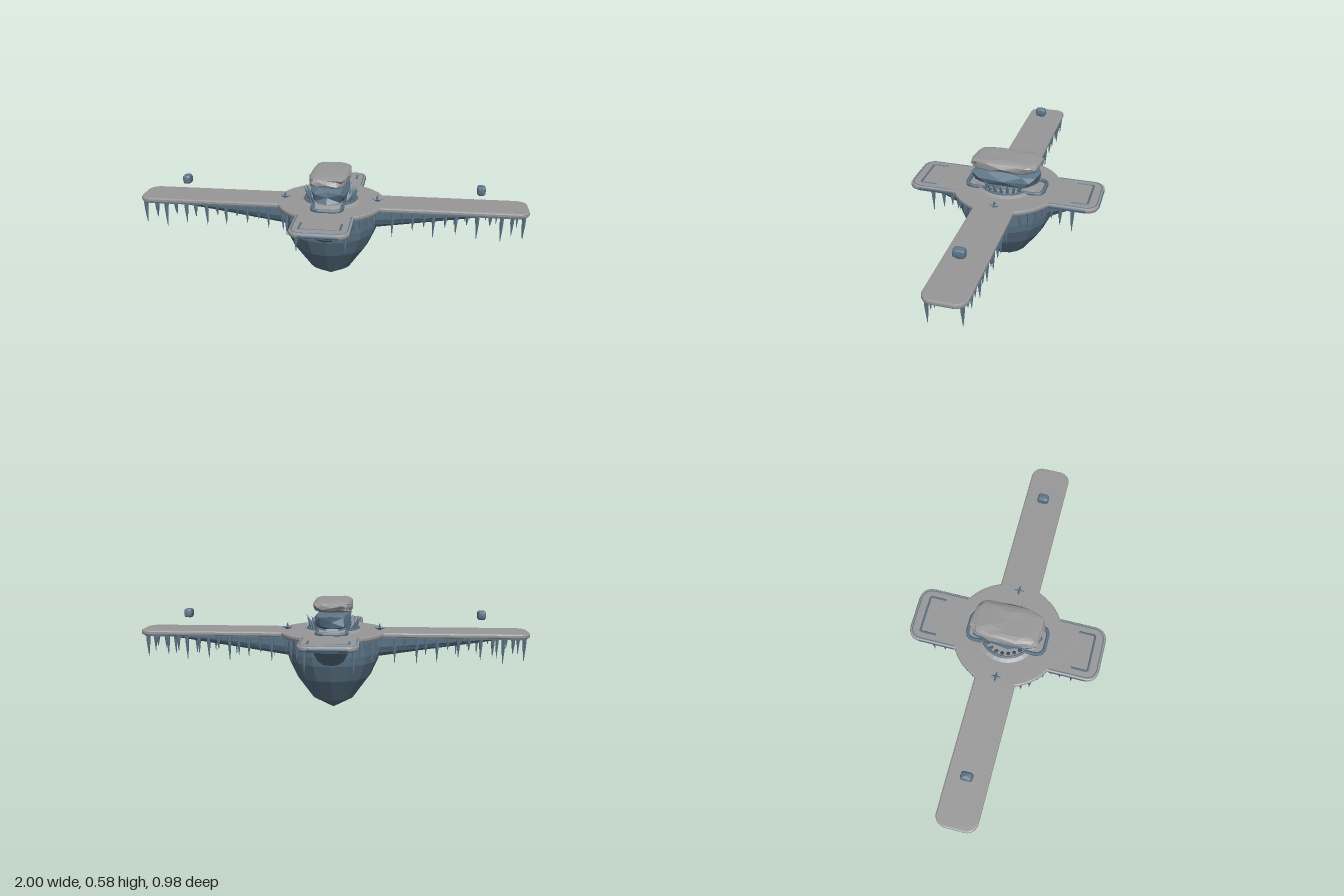
import * as THREE from 'three';
import { mergeVertices } from 'three/addons/utils/BufferGeometryUtils.js';

const stone = new THREE.MeshStandardMaterial({ color: 0x989898 });
stone.name = 'grey stone';
const ice = new THREE.MeshStandardMaterial({ color: 0x5c7689 });
ice.name = 'blue ice';

let seed = 7;
const rnd = () => (seed = (seed * 16807) % 2147483647) / 2147483647;

// split the faces so that each is shaded flat
function flat(geo) {
  const g = geo.index ? geo.toNonIndexed() : geo;
  g.computeVertexNormals();
  return g;
}

// move every vertex by a rule
function warp(geo, rule) {
  const p = geo.attributes.position, v = new THREE.Vector3();
  for (let i = 0; i < p.count; i++) {
    rule(v.fromBufferAttribute(p, i));
    p.setXYZ(i, v.x, v.y, v.z);
  }
  return geo;
}

// cross-shaped plan: disc with two long and two short rounded arms
function plan(inset) {
  const R = 0.28 - inset, L = 1 - inset, W = 0.103 - inset;
  const Z = 0.49 - inset, H = 0.145 - inset, c = 0.05;
  const a = Math.asin(W / R), b = Math.acos(H / R);
  const s = new THREE.Shape();
  s.moveTo(R * Math.cos(a), -W);
  s.lineTo(L - c, -W);
  s.absarc(L - c, -W + c, c, -Math.PI / 2, 0);
  s.absarc(L - c, W - c, c, 0, Math.PI / 2);
  s.absarc(0, 0, R, a, b);
  s.absarc(H - c, Z - c, c, 0, Math.PI / 2);
  s.absarc(-H + c, Z - c, c, Math.PI / 2, Math.PI);
  s.absarc(0, 0, R, Math.PI - b, Math.PI - a);
  s.absarc(-L + c, W - c, c, Math.PI / 2, Math.PI);
  s.absarc(-L + c, -W + c, c, Math.PI, Math.PI * 1.5);
  s.absarc(0, 0, R, Math.PI + a, Math.PI + b);
  s.absarc(-H + c, -Z + c, c, Math.PI, Math.PI * 1.5);
  s.absarc(H - c, -Z + c, c, Math.PI * 1.5, Math.PI * 2);
  s.absarc(0, 0, R, -b, -a);
  return s;
}

// horizontal slab between two heights
function slab(shape, y0, y1, bevel) {
  const g = new THREE.ExtrudeGeometry(shape, {
    depth: y1 - y0 - 2 * bevel, curveSegments: 8, bevelEnabled: bevel > 0,
    bevelSize: bevel, bevelThickness: bevel, bevelSegments: 2,
  });
  return g.rotateX(-Math.PI / 2).translate(0, y0 + bevel, 0);
}

// boxy boulder with a rough surface
function boulder(hx, hy, hz, detail, rough) {
  const g = new THREE.IcosahedronGeometry(1, detail);
  g.deleteAttribute('normal');
  g.deleteAttribute('uv');
  const m = mergeVertices(g, 1e-3);
  const box = (n) => Math.sign(n) * Math.pow(Math.abs(n), 0.55);
  warp(m, (v) => {
    const k = 1 - rough * rnd();
    v.set(box(v.x) * hx * k, box(v.y) * hy * (1 - rough * rnd()), box(v.z) * hz * k);
  });
  return flat(m);
}

// U-shaped rail, open towards the centre
function rail(half, end, start, y, r, corner) {
  const pts = [[half, start], [half, end - corner], [half - corner * 0.3, end - corner * 0.3],
    [half - corner, end], [-half + corner, end], [-half + corner * 0.3, end - corner * 0.3],
    [-half, end - corner], [-half, start]].map(([x, z]) => new THREE.Vector3(x, y, z));
  const path = new THREE.CurvePath();
  for (let i = 1; i < pts.length; i++) path.add(new THREE.LineCurve3(pts[i - 1], pts[i]));
  return new THREE.TubeGeometry(path, 60, r, 6, false);
}

// tapering bracket under an arm, along +x
function bracket(x0, x1, depth, half) {
  const g = new THREE.CylinderGeometry(1, 1, x1 - x0, 16, 5).rotateZ(-Math.PI / 2);
  warp(g, (v) => {
    const t = (v.x + (x1 - x0) / 2) / (x1 - x0);
    const d = depth * (1 - t) + 0.008;
    v.set(x0 + t * (x1 - x0), 0.392 - d * Math.pow(Math.max(0, -v.y), 0.7),
      v.z * half * (1 - 0.2 * t));
  });
  return flat(g);
}

export function createModel() {
  const model = new THREE.Group();
  const add = (name, geo, mat, parent = model) => {
    const m = new THREE.Mesh(geo, mat);
    m.name = name;
    parent.add(m);
    return m;
  };

  // platform
  add('deck', slab(plan(0.007), 0.392, 0.416, 0.007), stone);
  add('deckUnderside', slab(plan(0.012), 0.385, 0.393, 0), ice);

  // faceted keel
  const profile = [[0, 0], [0.108, 0.06], [0.195, 0.18], [0.235, 0.265], [0.245, 0.31], [0.25, 0.39]]
    .map(([x, y]) => new THREE.Vector2(x, y));
  add('keel', flat(new THREE.LatheGeometry(profile, 16)), ice);

  // brackets below the four arms
  for (const s of [0, 1]) {
    add('longArmBracket', bracket(0.18, 0.93, 0.115, 0.06), ice).rotation.y = s * Math.PI;
    add('shortArmBracket', bracket(0.18, 0.43, 0.145, 0.095), ice).rotation.y = (s - 0.5) * Math.PI;
  }

  // rails on the short arms and around the boulder
  for (const s of [0, 1]) {
    const end = new THREE.Group();
    end.name = 'shortArmRails';
    end.rotation.y = s * Math.PI;
    model.add(end);
    add('edgeRail', rail(0.133, 0.479, 0.245, 0.403, 0.0145, 0.045), ice, end);
    add('innerRail', rail(0.098, 0.435, 0.35, 0.414, 0.006, 0.008), ice, end);
    add('boulderRail', rail(0.075, 0.2, 0.1, 0.422, 0.01, 0.035), ice, end);
  }

  // raised base, boulder and cap
  add('boulderBase', flat(new THREE.CylinderGeometry(0.135, 0.165, 0.014, 24).translate(0, 0.42, 0)), stone);
  add('boulderNeck', flat(new THREE.CylinderGeometry(0.075, 0.095, 0.05, 9).scale(1, 1, 1.45).translate(0, 0.435, 0)), ice);
  add('boulder', boulder(0.1, 0.048, 0.2, 1, 0.22), ice).position.y = 0.477;
  add('boulderCap', boulder(0.107, 0.031, 0.185, 3, 0.1), stone).position.y = 0.55;

  // crown of shards leaning outwards beside the boulder
  for (const side of [-1, 1]) {
    for (let i = -3; i <= 3; i++) {
      const a = i * 0.27, h = 0.06 + 0.03 * rnd();
      const shard = new THREE.Group();
      shard.name = 'shard';
      shard.rotation.y = a + (side < 0 ? Math.PI : 0);
      model.add(shard);
      const m = add('shardSpike', flat(new THREE.ConeGeometry(0.013, h, 5).translate(0, h / 2, 0)), ice, shard);
      m.position.set(0.108, 0.415, 0);
      m.rotation.z = -0.35 - 0.25 * rnd();
    }
    const arc = add('crownArc', new THREE.TorusGeometry(0.132, 0.007, 5, 14, 1.8), ice);
    arc.rotation.set(-Math.PI / 2, 0, side > 0 ? -0.9 : Math.PI - 0.9);
    arc.position.y = 0.427;

    // little star of ice on the deck
    const star = new THREE.Group();
    star.name = 'iceStar';
    star.position.set(side * 0.24, 0.418, 0);
    model.add(star);
    add('starTip', flat(new THREE.ConeGeometry(0.012, 0.034, 4).translate(0, 0.017, 0)), ice, star);
    for (let k = 0; k < 4; k++) {
      const ray = add('starRay', flat(new THREE.ConeGeometry(0.01, 0.03, 4).translate(0, 0.015, 0)), ice, star);
      ray.rotation.set(0, k * Math.PI / 2, -1.3, 'YXZ');
      ray.position.y = 0.004;
    }

    // floating block over the long arm
    add('floatingBlock', boulder(0.023, 0.025, 0.032, 1, 0.08), ice).position.set(side * 0.76, 0.497, 0);
  }

  // icicles
  const icicle = (x, z, len) => {
    const g = new THREE.CylinderGeometry(0.011, 0.001, len, 6, 3);
    warp(g, (v) => {
      const t = 0.5 - v.y / len;
      const k = t > 0.1 && t < 0.9 ? 1.2 : 1;
      v.x *= k;
      v.z *= k;
    });
    add('icicle', flat(g), ice).position.set(x, 0.39 - len / 2, z);
  };
  for (const sx of [-1, 1]) for (const sz of [-1, 1]) {
    // long arm edges
    for (let i = 0; i < 13; i++) {
      const len = i % 2 ? 0.05 + 0.05 * rnd() : 0.095 + 0.04 * rnd();
      icicle(sx * (0.96 - i * 0.054 + 0.012 * rnd()), sz * (0.075 + 0.012 * rnd()), len);
    }
    // short arm edges
    for (const [z, len] of [[0.365, 0.115], [0.305, 0.085], [0.26, 0.07]]) {
      icicle(sx * (0.112 + 0.012 * rnd()), sz * z, len + 0.02 * rnd());
    }
    // disc edge
    for (const a of [0.5, 0.68, 0.86, 1.0]) {
      icicle(sx * 0.262 * Math.cos(a), sz * 0.262 * Math.sin(a), 0.06 + 0.07 * rnd());
    }
  }
  return model;
}
